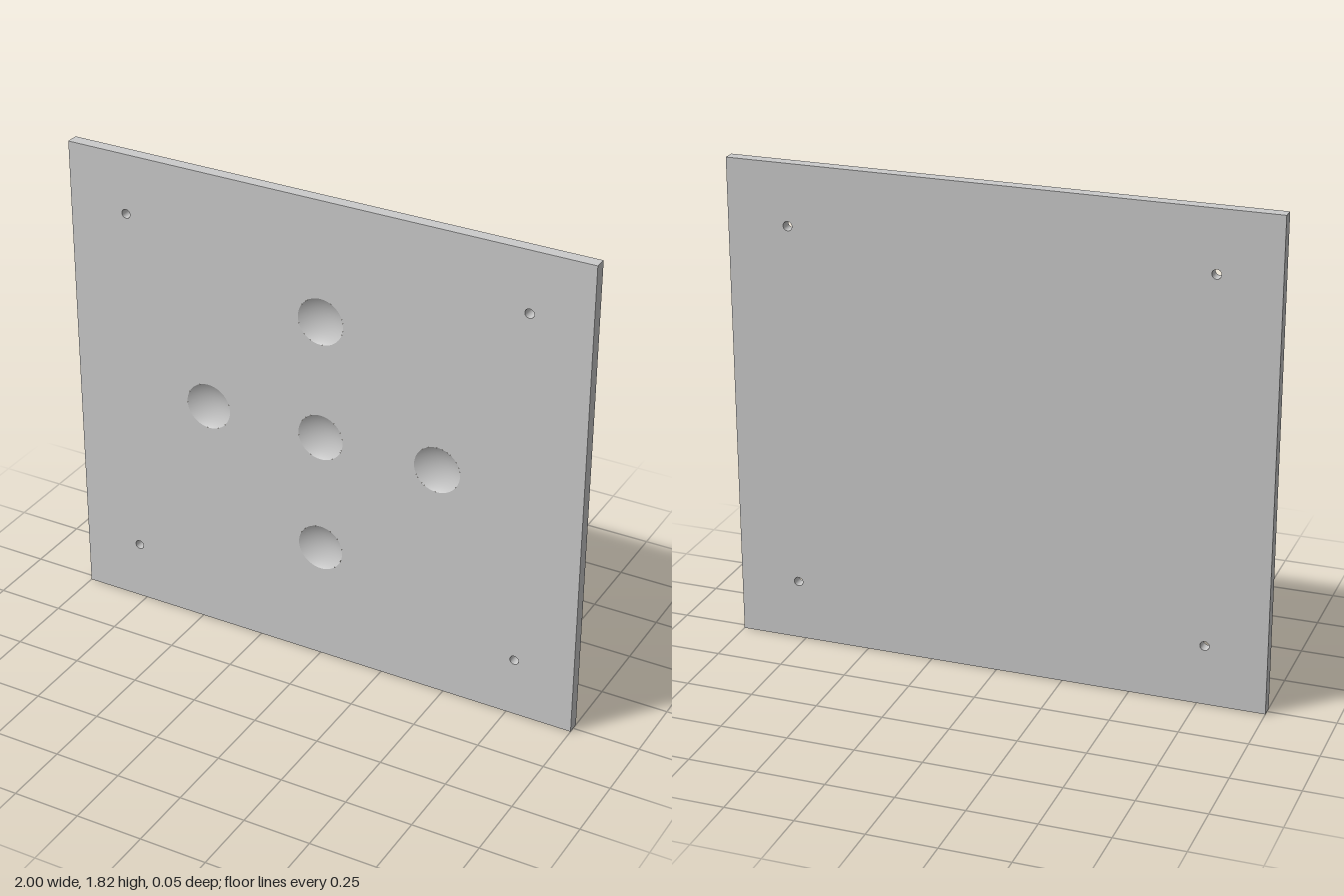
import * as THREE from 'three';

const W = 2, H = 1.818, T = 0.0455;          // plate size
const HOLE_R = 0.017;                         // corner bolt holes
const BALL_R = 0.1818, DIP = 0.0227;          // spherical dimples
const DIMPLE_R = Math.sqrt(BALL_R ** 2 - (BALL_R - DIP) ** 2);
const SEG = 48;

const holes = [-1, 1].flatMap(sx => [-1, 1].map(sy => [sx * 0.773, H / 2 + sy * 0.682]));
const dimples = [[0, 0], [1, 0], [-1, 0], [0, 1], [0, -1]].map(([x, y]) => [x * 0.4545, H / 2 + y * 0.4545]);

// Rectangle pierced by round openings given as [x, y, radius]
function faceGeometry(openings) {
  const s = new THREE.Shape([
    new THREE.Vector2(-W / 2, 0), new THREE.Vector2(W / 2, 0),
    new THREE.Vector2(W / 2, H), new THREE.Vector2(-W / 2, H)]);
  for (const [x, y, r] of openings) s.holes.push(new THREE.Path().absarc(x, y, r, 0, Math.PI * 2, true));
  return new THREE.ShapeGeometry(s, SEG);
}

export function createModel() {
  const group = new THREE.Group();
  group.name = 'dimpledPlate';
  const outer = new THREE.MeshStandardMaterial({ color: 0xcccccc });
  const inner = new THREE.MeshStandardMaterial({ color: 0xcccccc, side: THREE.BackSide });
  const add = (name, geometry, material, x = 0, y = 0, z = 0) => {
    const mesh = new THREE.Mesh(geometry, material);
    mesh.name = name;
    mesh.position.set(x, y, z);
    group.add(mesh);
    return mesh;
  };

  // Front face is open at holes and dimples, back face only at the holes
  const through = holes.map(([x, y]) => [x, y, HOLE_R]);
  const dips = dimples.map(([x, y]) => [x, y, DIMPLE_R]);
  add('frontFace', faceGeometry([...through, ...dips]), outer, 0, 0, T / 2);
  add('backFace', faceGeometry(through), inner, 0, 0, -T / 2);

  // Four narrow edges
  for (const s of [-1, 1]) {
    add('sideEdge', new THREE.PlaneGeometry(T, H).rotateY(s * Math.PI / 2), outer, s * W / 2, H / 2);
    add(s > 0 ? 'topEdge' : 'bottomEdge', new THREE.PlaneGeometry(W, T).rotateX(-s * Math.PI / 2),
      outer, 0, s > 0 ? H : 0);
  }

  // Walls of the through holes
  const wall = new THREE.CylinderGeometry(HOLE_R, HOLE_R, T, SEG, 1, true).rotateX(Math.PI / 2);
  for (const [x, y] of holes) add('boltHole', wall, inner, x, y);

  // Shallow bowls sunk into the front
  const bowl = new THREE.SphereGeometry(BALL_R, SEG, 10, 0, Math.PI * 2, 0, Math.asin(DIMPLE_R / BALL_R))
    .rotateX(-Math.PI / 2);
  for (const [x, y] of dimples) add('dimple', bowl, inner, x, y, T / 2 + BALL_R - DIP);

  return group;
}
